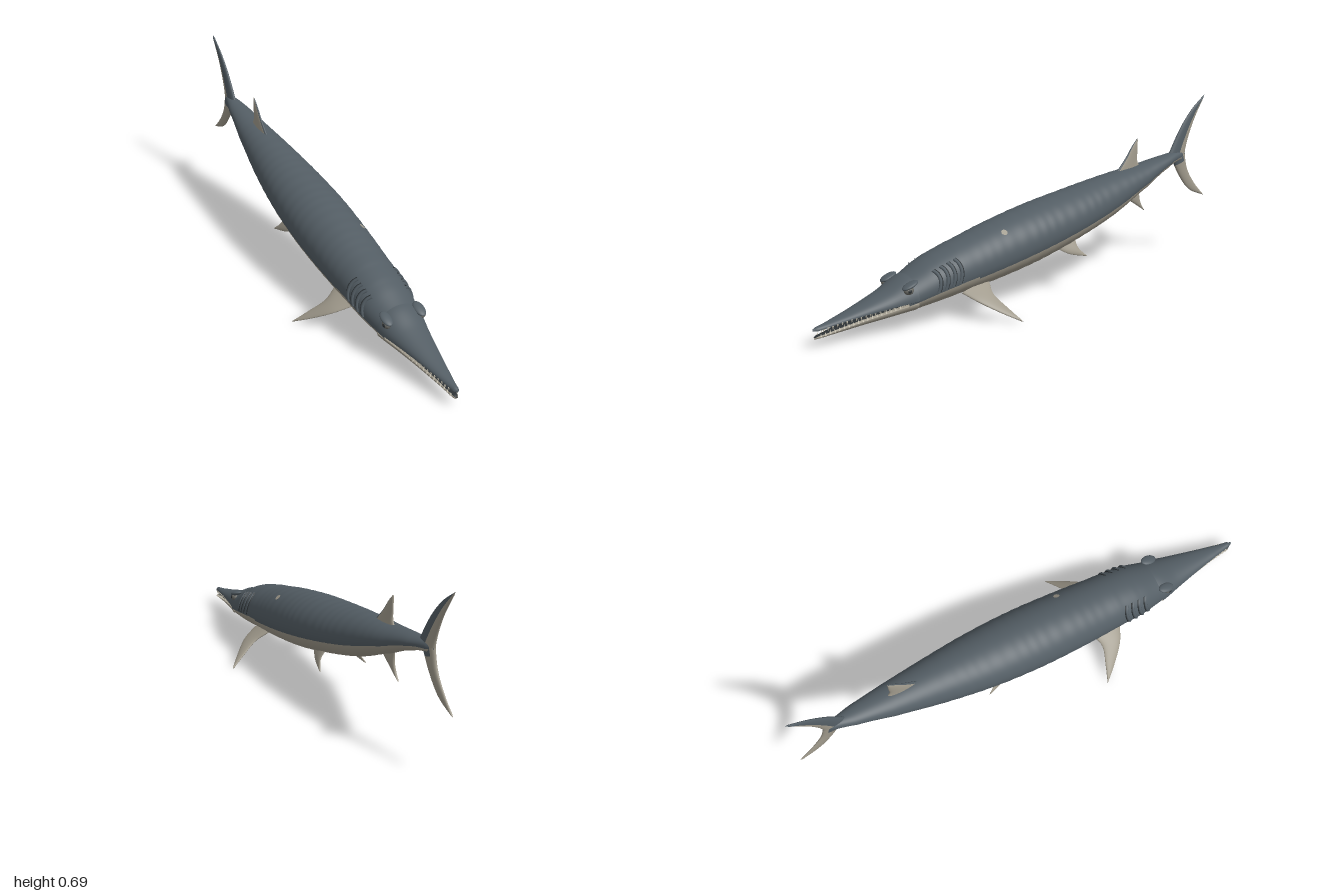
import * as THREE from 'three';
import { mergeGeometries } from 'three/addons/utils/BufferGeometryUtils.js';

const mat = (name, color, side = THREE.FrontSide) => {
  const m = new THREE.MeshStandardMaterial({ color, side });
  m.name = name;
  return m;
};

// Lofted surface from rings of points; paint(i, j) picks a material index for each face.
function loft(point, rings, cols, paint) {
  const pos = [], faces = [[], []];
  for (let i = 0; i <= rings; i++)
    for (let j = 0; j < cols; j++) pos.push(...point(i / rings, (j / cols) * Math.PI * 2));
  for (let i = 0; i < rings; i++)
    for (let j = 0; j < cols; j++) {
      const a = i * cols + j, b = i * cols + ((j + 1) % cols), c = a + cols, d = b + cols;
      faces[paint((i + 0.5) / rings, ((j + 0.5) / cols) * Math.PI * 2)].push(a, c, b, b, c, d);
    }
  const g = new THREE.BufferGeometry();
  g.setAttribute('position', new THREE.Float32BufferAttribute(pos, 3));
  g.setIndex([...faces[0], ...faces[1]]);
  g.addGroup(0, faces[0].length, 0);
  g.addGroup(faces[0].length, faces[1].length, 1);
  g.computeVertexNormals();
  return g;
}

// Smooth interpolation of [z, top, mid, bottom, halfWidth] stations, ordered front to back.
function station(rows, z) {
  let k = 0;
  while (k < rows.length - 2 && z < rows[k + 1][0]) k++;
  const p0 = rows[Math.max(k - 1, 0)], p1 = rows[k], p2 = rows[k + 1], p3 = rows[Math.min(k + 2, rows.length - 1)];
  const t = (z - p1[0]) / (p2[0] - p1[0]);
  return p1.map((b, n) => {
    const a = p0[n], c = p2[n], d = p3[n];
    return b + 0.5 * t * (c - a + t * (2 * a - 5 * b + 4 * c - d + t * (3 * (b - c) + d - a)));
  });
}

// Egg-shaped cross-section point at depth z and angle a.
function skin(rows, z, a, scale = 1) {
  const [, top, mid, bottom, w] = station(rows, z);
  const s = Math.sin(a);
  return [Math.cos(a) * w * scale, mid + s * scale * (s > 0 ? top - mid : mid - bottom), z];
}

const BODY = [
  [0.64, 0.186, 0.114, 0.062, 0.086], [0.5, 0.245, 0.15, 0.074, 0.11], [0.4, 0.277, 0.17, 0.085, 0.116],
  [0.2, 0.325, 0.205, 0.107, 0.126], [0, 0.364, 0.245, 0.14, 0.13], [-0.2, 0.393, 0.285, 0.19, 0.121],
  [-0.4, 0.42, 0.33, 0.25, 0.098], [-0.6, 0.44, 0.385, 0.335, 0.068], [-0.75, 0.458, 0.43, 0.4, 0.04],
  [-0.84, 0.465, 0.445, 0.425, 0.018], [-0.87, 0.455, 0.447, 0.44, 0.004],
];
const UPPER_JAW = [
  [1, 0.074, 0.07, 0.068, 0.003], [0.985, 0.08, 0.068, 0.066, 0.012], [0.9, 0.098, 0.082, 0.078, 0.028],
  [0.8, 0.125, 0.096, 0.091, 0.049], [0.7, 0.158, 0.108, 0.102, 0.072], [0.6, 0.202, 0.118, 0.106, 0.095],
];
const LOWER_JAW = [
  [0.995, 0.043, 0.04, 0.037, 0.003], [0.985, 0.048, 0.043, 0.036, 0.011], [0.9, 0.064, 0.056, 0.042, 0.024],
  [0.8, 0.082, 0.074, 0.05, 0.044], [0.7, 0.098, 0.09, 0.057, 0.066], [0.6, 0.116, 0.107, 0.066, 0.092],
];

// Lens-section fin between a leading and a trailing edge.
function finGeometry(lead, trail, thick, paint) {
  const curve = (pts) => new THREE.CatmullRomCurve3(pts.map((p) => new THREE.Vector3(...p)));
  const L = curve(lead), T = curve(trail);
  const chord = T.getPoint(0).sub(L.getPoint(0));
  const span = L.getPoint(1).sub(L.getPoint(0).lerp(T.getPoint(0), 0.5));
  const normal = span.cross(chord).normalize();
  const across = (a) => (1 - Math.cos(a)) / 2;
  return loft((s, a) => L.getPoint(s).lerp(T.getPoint(s), across(a))
    .addScaledVector(normal, thick * (1 - 0.75 * s) * Math.sin(a) * (s === 1 ? 0 : 1)).toArray(),
  20, 24, (s, a) => paint(s, across(a)));
}

export function createModel() {
  const root = new THREE.Group();
  root.name = 'longSnoutedFish';
  const slate = mat('slate back', 0x535d64);
  const pale = mat('pale belly', 0xa09a8c);
  const dark = mat('dark slit', 0x2c3134);
  const ivory = mat('ivory tooth', 0xd6d0bf);
  const eyeGrey = mat('grey eye', 0x6c6c67);
  const add = (name, geometry, material) => {
    const m = new THREE.Mesh(geometry, material);
    m.name = name;
    root.add(m);
    return m;
  };

  // Body with faint skin folds, slate above and pale below
  add('body', loft((u, a) => {
    const z = 0.64 - 1.51 * u;
    const fold = 1 + 0.005 * Math.sin(z * 120 + Math.sin(z * 23)) * Math.sin(Math.PI * u);
    return skin(BODY, z, a, fold);
  }, 150, 72, (u, a) => (Math.sin(a) < (u < 0.2 ? -0.14 : -0.29) ? 1 : 0)), [slate, pale]);

  // Jaws
  const jaw = (rows) => (u, a) => skin(rows, rows[0][0] + (0.6 - rows[0][0]) * u ** 1.3, a);
  add('upperJaw', loft(jaw(UPPER_JAW), 48, 48, (u, a) => (Math.sin(a) < -0.5 ? 1 : 0)), [slate, dark]);
  add('lowerJaw', loft(jaw(LOWER_JAW), 48, 48, (u, a) => (Math.sin(a) > 0.6 ? 1 : 0)), [pale, dark]);

  // Teeth along both jaws
  const teeth = [];
  for (const [rows, dir, shift] of [[UPPER_JAW, -1, 0], [LOWER_JAW, 1, 0.009]])
    for (let k = 0; k < 18; k++)
      for (const side of [-1, 1]) {
        const z = 0.66 + k * 0.0178 + shift;
        const [, , mid, , w] = station(rows, z);
        const h = k % 3 ? 0.013 : 0.017;
        const t = new THREE.ConeGeometry(0.0042, h, 6);
        if (dir < 0) t.rotateX(Math.PI);
        teeth.push(t.translate(side * w * 0.93, mid + dir * (h / 2 - 0.001), z));
      }
  add('teeth', mergeGeometries(teeth), ivory);

  for (const side of [-1, 1]) {
    const label = side > 0 ? 'left' : 'right';

    // Eye below a brow ridge
    const ball = (name, material, p, s) => {
      const m = add(label + name, new THREE.SphereGeometry(1, 20, 14), material);
      m.position.set(side * p[0], p[1], p[2]);
      m.scale.set(...s);
      return m;
    };
    ball('Eye', eyeGrey, [0.073, 0.16, 0.633], [0.016, 0.016, 0.02]);
    ball('Pupil', dark, [0.084, 0.16, 0.636], [0.0065, 0.008, 0.009]);
    ball('Brow', slate, [0.07, 0.178, 0.625], [0.021, 0.009, 0.036]).rotation.x = 0.35;

    // Gill covers with dark slits behind them
    for (let k = 0; k < 4; k++) {
      const arc = (offset, scale) => new THREE.CatmullRomCurve3([-0.1, 0.15, 0.4, 0.65, 0.85].map((a, n) => {
        const z = 0.515 - k * 0.031 + offset - 0.012 * Math.sin((n / 4) * Math.PI);
        const p = skin(BODY, z, a, scale);
        return new THREE.Vector3(side * p[0], p[1], p[2]);
      }));
      add(label + 'GillCover', new THREE.TubeGeometry(arc(0.007, 0.99), 20, 0.007, 8), slate);
      add(label + 'GillSlit', new THREE.TubeGeometry(arc(0, 1), 20, 0.003, 6), dark);
    }

    // Paired fins
    const mirror = (pts) => pts.map(([x, y, z]) => [side * x, y, z]);
    add(label + 'PectoralFin', finGeometry(
      mirror([[0.085, 0.105, 0.4], [0.15, 0.075, 0.365], [0.215, 0.033, 0.3], [0.26, 0.003, 0.245]]),
      mirror([[0.085, 0.125, 0.27], [0.135, 0.09, 0.288], [0.2, 0.045, 0.268], [0.26, 0.003, 0.245]]),
      0.012, () => 0), [pale, slate]);
    add(label + 'PelvicFin', finGeometry(
      mirror([[0.055, 0.19, -0.08], [0.08, 0.155, -0.14], [0.1, 0.135, -0.22]]),
      mirror([[0.055, 0.215, -0.19], [0.08, 0.175, -0.187], [0.1, 0.135, -0.22]]),
      0.009, () => 0), [pale, slate]);
  }

  // Midline fins, given as [y, z] edges
  const midline = (name, lead, trail, thick, paint) => {
    const flat = (pts) => pts.map(([y, z]) => [0, y, z]);
    add(name, finGeometry(flat(lead), flat(trail), thick, paint), [pale, slate]);
  };
  midline('dorsalFin',
    [[0.41, -0.455], [0.475, -0.52], [0.525, -0.56], [0.552, -0.588]],
    [[0.41, -0.62], [0.455, -0.588], [0.5, -0.588], [0.552, -0.588]],
    0.012, (s, c) => (c < 0.1 ? 1 : 0));
  midline('analFin',
    [[0.34, -0.47], [0.29, -0.55], [0.255, -0.605], [0.235, -0.635]],
    [[0.36, -0.61], [0.31, -0.603], [0.27, -0.613], [0.235, -0.635]],
    0.011, () => 0);
  midline('tailUpperLobe',
    [[0.44, -0.765], [0.565, -0.845], [0.64, -0.915], [0.69, -0.985]],
    [[0.43, -0.868], [0.475, -0.875], [0.57, -0.912], [0.69, -0.985]],
    0.015, (s, c) => (c < 0.55 ? 1 : 0));
  midline('tailLowerLobe',
    [[0.45, -0.785], [0.35, -0.845], [0.285, -0.905], [0.245, -0.998]],
    [[0.46, -0.868], [0.38, -0.888], [0.31, -0.935], [0.245, -0.998]],
    0.014, (s, c) => (s < 0.16 && c < 0.7 ? 1 : 0));

  // Small pale scar on the left flank
  const scar = add('scar', new THREE.CircleGeometry(0.013, 10), pale);
  const at = new THREE.Vector3(...skin(BODY, 0.19, 0.9, 1.015));
  scar.position.copy(at);
  scar.lookAt(at.x + Math.cos(0.9), at.y + Math.sin(0.9), at.z + 0.15);

  return root;
}
